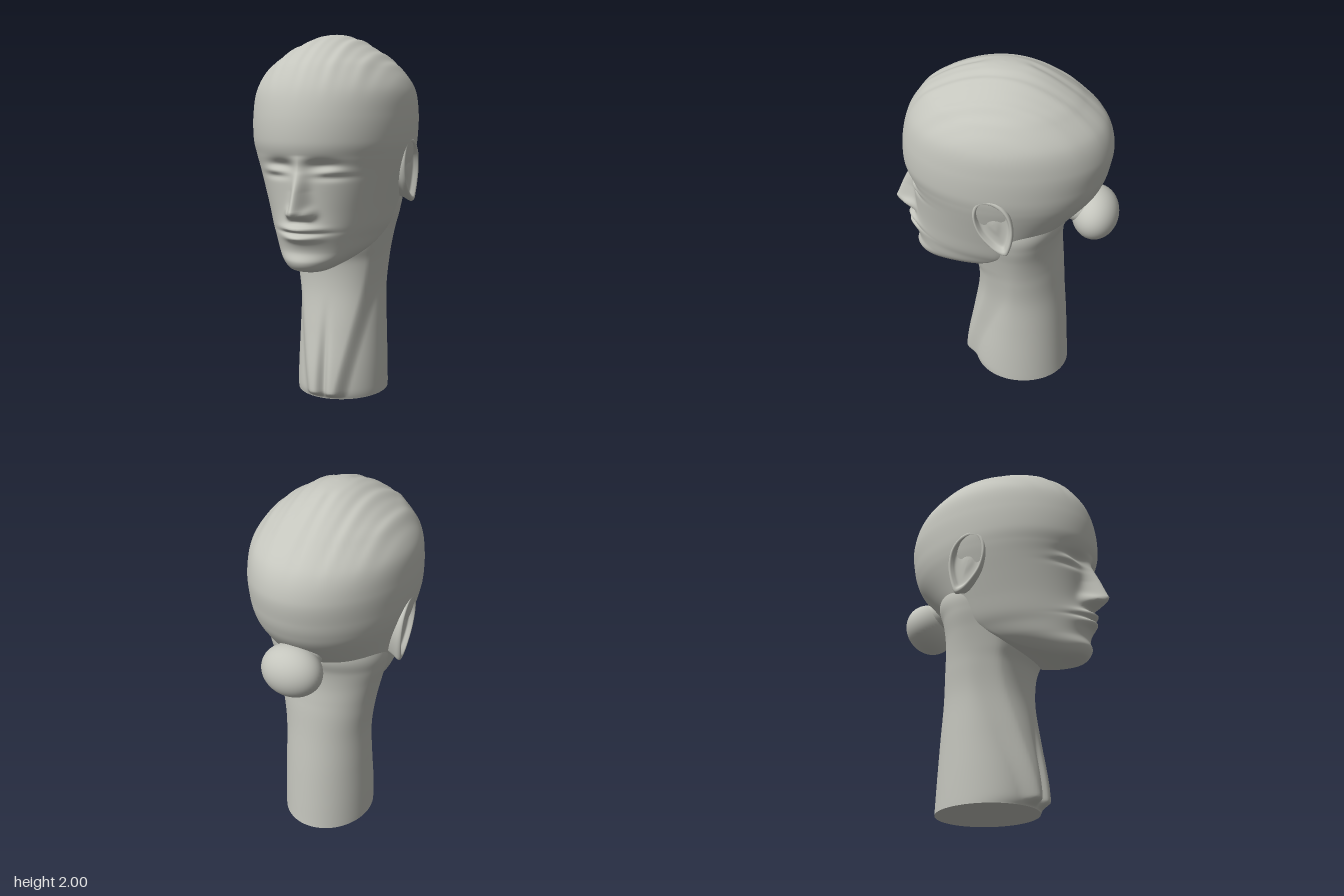
import * as THREE from 'three';

const bell = (d, s) => Math.exp(-(d * d) / (2 * s * s));
const smooth = THREE.MathUtils.smoothstep;

// Linear lookup in a short [key, value] list with rising keys
function lookup(list, k) {
  if (k <= list[0][0]) return list[0][1];
  for (let i = 1; i < list.length; i++) {
    const [k0, v0] = list[i - 1], [k1, v1] = list[i];
    if (k <= k1) return v0 + (v1 - v0) * (k - k0) / (k1 - k0);
  }
  return list[list.length - 1][1];
}

// Smooth in-between rows of a cross-section table
function refine(rows, steps) {
  const out = [];
  const at = i => rows[Math.max(0, Math.min(rows.length - 1, i))];
  for (let i = 0; i < rows.length - 1; i++) {
    for (let s = 0; s < steps; s++) {
      const t = s / steps;
      out.push(rows[i].map((b, k) => {
        const a = at(i - 1)[k], c = at(i + 1)[k], d = at(i + 2)[k];
        return b + 0.5 * t * (c - a + t * (2 * a - 5 * b + 4 * c - d + t * (3 * (b - c) + d - a)));
      }));
    }
  }
  out.push(rows[rows.length - 1]);
  return out;
}

// Skin closed rings of [x, y, z] points
function loft(rings) {
  const n = rings[0].length, index = [];
  for (let r = 0; r < rings.length - 1; r++) {
    for (let i = 0; i < n; i++) {
      const j = (i + 1) % n;
      const a = r * n + i, b = r * n + j, c = a + n, d = b + n;
      index.push(a, b, d, a, d, c);
    }
  }
  const g = new THREE.BufferGeometry();
  g.setAttribute('position', new THREE.Float32BufferAttribute(rings.flat(2), 3));
  g.setIndex(index);
  g.computeVertexNormals();
  return g;
}

// Rows are [y, halfWidth, frontZ, backZ, widestZ]; columns crowd towards the front
function ringsFrom(rows, steps, half, relief) {
  return refine(rows, steps).map(([y, w, zf, zb, zc]) => {
    const ring = [];
    for (let i = 0; i < half * 2; i++) {
      const s = i <= half ? i / half : (i - 2 * half) / half;
      const a = Math.sign(s) * Math.PI * Math.pow(Math.abs(s), 1.35);
      const x = w * Math.sin(a), c = Math.cos(a);
      const z = zc + c * (c > 0 ? zf - zc : zc - zb);
      ring.push(relief(x, y, z, c));
    }
    return ring;
  });
}

// Nose ridge height by y
const noseHeight = [[1.045, 0], [1.06, 0.035], [1.08, 0.115], [1.1, 0.127], [1.2, 0.08], [1.3, 0.027], [1.38, 0]];

function faceRelief(x, y, z, c) {
  if (y > 1.6) {
    // combed hair grooves
    const k = smooth(y, 1.6, 1.85) * 0.003;
    return [x, y + k * (Math.sin(x * 55) + 0.6 * Math.sin(x * 97 + 1)) * smooth(2 - y, 0, 0.03), z];
  }
  if (c <= 0) return [x, y, z];
  const ax = Math.abs(x);
  let d = lookup(noseHeight, y) * bell(x, lookup([[1.06, 0.036], [1.2, 0.026], [1.36, 0.03]], y));
  d += 0.035 * bell(ax - 0.055, 0.018) * bell(y - 1.085, 0.02);     // nostril wings
  d -= 0.03 * bell(ax - 0.11, 0.06) * bell(y - 1.325, 0.025);       // eye sockets
  d += 0.018 * bell(ax - 0.15, 0.05) * bell(y - 1.3, 0.016);        // eyelids
  d -= 0.012 * bell(ax - 0.15, 0.06) * bell(y - 1.27, 0.012);       // lower lid crease
  d += 0.035 * bell(x, 0.09) * bell(y - 0.985, 0.045);              // mouth mound
  d += 0.03 * bell(x, 0.065) * bell(y - 1.008, 0.01);               // upper lip
  d += 0.024 * bell(x, 0.06) * bell(y - 0.958, 0.013);              // lower lip
  d -= 0.018 * bell(x, 0.08) * bell(y - 0.983, 0.007);              // mouth line
  return [x, y, z + d * smooth(c, 0, 0.5)];
}

function neckRelief(x, y, z, c) {
  if (c <= 0) return [x, y, z];
  // V-shaped neck tendons with a groove between them
  const edge = 0.1 + 0.2 * y, ax = Math.abs(x);
  const fade = smooth(y, 0.005, 0.045);
  let d = 0.05 * (1 - smooth(ax, edge - 0.045, edge + 0.02));
  d -= 0.04 * bell(x, 0.018) * (1 - smooth(y, 0.05, 0.6));
  return [x, y, z + d * fade * smooth(c, 0, 0.3)];
}

const headRows = [
  [0.765, 0, 0.4, 0.4, 0.4],
  [0.772, 0.07, 0.445, 0.34, 0.39],
  [0.79, 0.125, 0.485, 0.26, 0.33],
  [0.83, 0.19, 0.507, 0.13, 0.2],
  [0.88, 0.245, 0.492, 0, 0.1],
  [0.94, 0.283, 0.495, -0.15, 0.02],
  [1.0, 0.312, 0.492, -0.25, 0],
  [1.1, 0.342, 0.495, -0.33, -0.01],
  [1.2, 0.372, 0.5, -0.42, -0.01],
  [1.3, 0.402, 0.508, -0.5, -0.01],
  [1.37, 0.42, 0.527, -0.535, -0.01],
  [1.45, 0.432, 0.545, -0.557, 0],
  [1.58, 0.434, 0.538, -0.57, 0],
  [1.71, 0.415, 0.502, -0.525, 0],
  [1.82, 0.345, 0.43, -0.41, 0],
  [1.88, 0.275, 0.355, -0.33, 0],
  [1.94, 0.185, 0.245, -0.23, 0],
  [1.98, 0.1, 0.13, -0.14, 0],
  [1.995, 0.05, 0.06, -0.07, 0],
  [2.0, 0, 0, 0, 0],
];

const neckRows = [
  [0, 0.255, 0.175, -0.39, -0.1],
  [0.05, 0.255, 0.185, -0.387, -0.1],
  [0.18, 0.253, 0.17, -0.38, -0.1],
  [0.39, 0.248, 0.13, -0.367, -0.1],
  [0.6, 0.247, 0.095, -0.35, -0.1],
  [0.76, 0.265, 0.098, -0.34, -0.1],
  [0.85, 0.28, 0.13, -0.332, -0.1],
  [0.95, 0.303, 0.16, -0.326, -0.1],
  [1.05, 0.33, 0.18, -0.335, -0.1],
  [1.15, 0.34, 0.18, -0.365, -0.1],
  [1.3, 0.3, 0.15, -0.36, -0.1],
];

// Ear outline as [z, y], and its section as [scale, outward offset]
const earOutline = [[0, 1.45], [0.06, 1.425], [0.085, 1.34], [0.06, 1.23], [0.005, 1.155], [-0.05, 1.11],
  [-0.09, 1.102], [-0.112, 1.15], [-0.13, 1.27], [-0.11, 1.37], [-0.06, 1.43]];
const earSection = [[0.82, -0.08], [0.92, -0.035], [1, -0.008], [0.97, 0.008], [0.88, 0.01], [0.8, -0.002],
  [0.7, -0.016], [0.45, -0.018], [0.2, -0.012], [0, -0.01]];

function earGeometry(side) {
  const curve = new THREE.CatmullRomCurve3(earOutline.map(([z, y]) => new THREE.Vector3(0, y, z)), true);
  const pts = curve.getPoints(64).slice(0, 64);
  if (side < 0) pts.reverse();
  const cy = 1.29, cz = -0.02;
  return loft(refine(earSection, 4).map(([s, o]) => pts.map(p => {
    const y = cy + (p.y - cy) * s, z = cz + (p.z - cz) * s;
    return [side * (0.414 + o + (y - cy) * 0.05 - z * 0.08), y, z];
  })));
}

export function createModel() {
  const group = new THREE.Group();
  const clay = new THREE.MeshStandardMaterial({ color: 0xc4c5bd });
  clay.name = 'pale grey clay';
  const add = (name, geometry) => {
    const mesh = new THREE.Mesh(geometry, clay);
    mesh.name = name;
    group.add(mesh);
    return mesh;
  };

  add('head', loft(ringsFrom(headRows, 12, 64, faceRelief)));

  const neckRings = ringsFrom(neckRows, 8, 48, neckRelief);
  add('neck', loft(neckRings));
  add('neckBase', loft([neckRings[0].map(() => [0, 0, -0.1]), neckRings[0]]));

  add('leftEar', earGeometry(1));
  add('rightEar', earGeometry(-1));

  // Hair bun and the short gathered tie joining it to the head
  const bun = add('hairBun', new THREE.SphereGeometry(1, 48, 32));
  bun.scale.set(0.168, 0.142, 0.128);
  bun.position.set(0, 1.147, -0.499);
  const tie = add('bunTie', new THREE.SphereGeometry(1, 32, 20));
  tie.scale.set(0.12, 0.1, 0.12);
  tie.position.set(0, 1.2, -0.42);

  return group;
}
